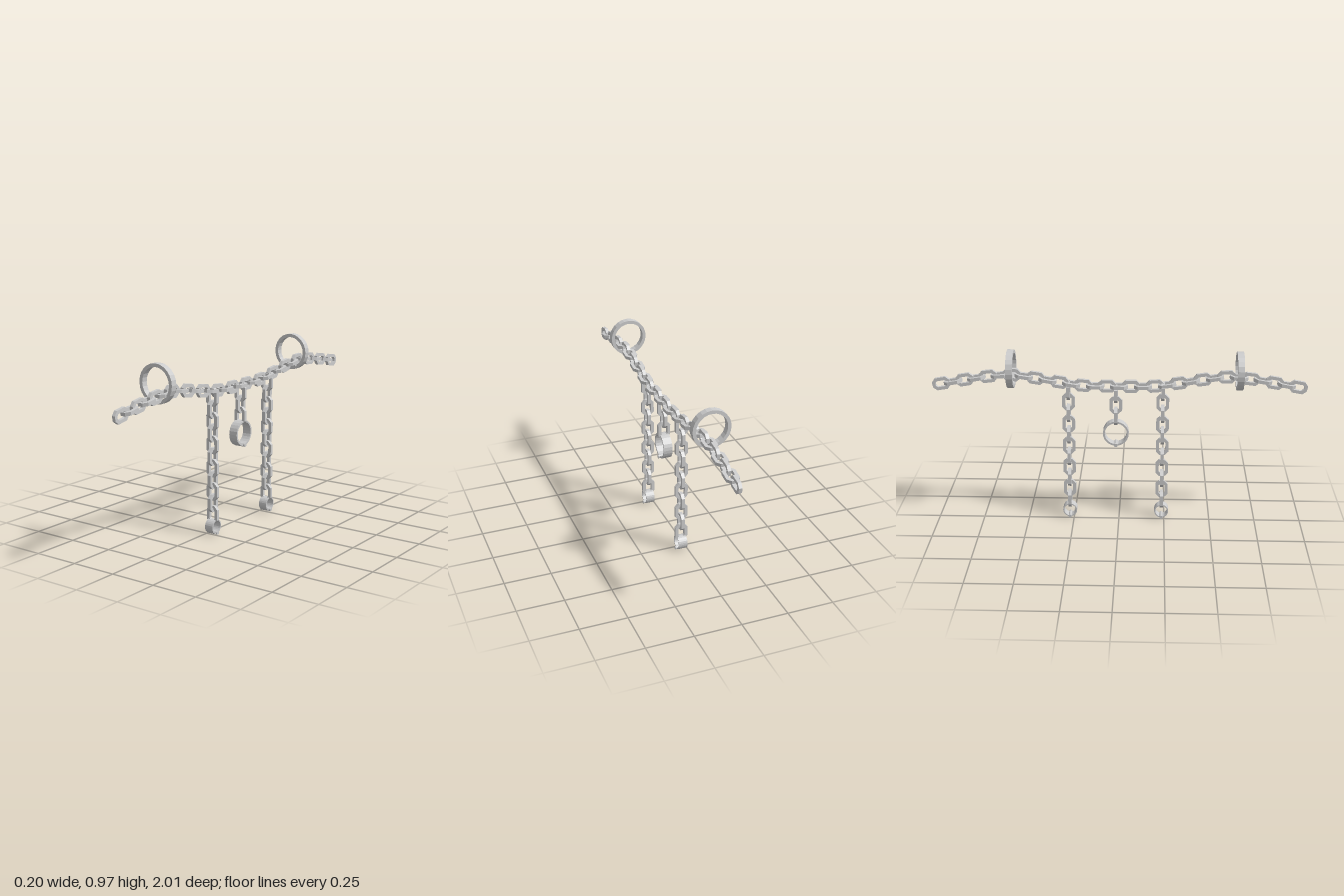
import * as THREE from 'three';

const metal = new THREE.MeshStandardMaterial({ color: 0xcccccc, flatShading: true });

// Eight-cornered elongated outline, long axis along y
function octagon(target, w, h, c) {
  const a = w / 2, b = h / 2;
  target.setFromPoints([[a, c - b], [a, b - c], [a - c, b], [c - a, b], [-a, b - c], [-a, c - b], [c - a, -b], [a - c, -b]]
    .map(([x, y]) => new THREE.Vector2(x, y)));
  target.closePath();
  return target;
}

// One chain link, lying in the xy plane
const linkShape = octagon(new THREE.Shape(), 0.068, 0.097, 0.02);
linkShape.holes.push(octagon(new THREE.Path(), 0.034, 0.063, 0.01));
const linkGeo = new THREE.ExtrudeGeometry(linkShape, { depth: 0.018, bevelEnabled: false });
linkGeo.translate(0, 0, -0.009);

// Flat-walled ring around the z axis
function ringGeometry(outer, inner, depth, segments) {
  const circle = (r) => Array.from({ length: segments }, (_, i) => {
    const a = (i / segments) * Math.PI * 2;
    return new THREE.Vector2(r * Math.cos(a), r * Math.sin(a));
  });
  const shape = new THREE.Shape(circle(outer));
  shape.holes.push(new THREE.Path(circle(inner)));
  const geo = new THREE.ExtrudeGeometry(shape, { depth, bevelEnabled: false });
  geo.translate(0, 0, -depth / 2);
  return geo;
}

function add(parent, geo, name, x, y, z) {
  const mesh = new THREE.Mesh(geo, metal);
  mesh.name = name;
  mesh.position.set(x, y, z);
  parent.add(mesh);
  return mesh;
}

// Vertical chain: links alternate between facing z and facing x
function hangingChain(name, z, yLow, count) {
  const chain = new THREE.Group();
  chain.name = name;
  for (let i = 0; i < count; i++) {
    const link = add(chain, linkGeo, 'link', 0.031, yLow + i * 0.0633, z);
    if (i % 2) link.rotation.y = Math.PI / 2;
  }
  return chain;
}

// Wide band with a closing pin through its lowest point
function cuff(name, y, z, radius, wall, pinRadius) {
  const group = new THREE.Group();
  group.name = name;
  group.position.set(0.031, y, z);
  add(group, ringGeometry(radius, radius - wall, 0.049, 24), 'band', 0, 0, 0).rotation.y = Math.PI / 2;
  const pin = new THREE.CylinderGeometry(pinRadius, pinRadius, 0.066, 10);
  add(group, pin, 'pin', 0, -radius + pinRadius * 0.5, 0).rotation.z = Math.PI / 2;
  return group;
}

export function createModel() {
  const model = new THREE.Group();
  model.name = 'hangingChains';

  // Long chain draped over two high points
  const main = new THREE.Group();
  main.name = 'mainChain';
  const heights = [[-0.953, 0.775], [-0.826, 0.798], [-0.7, 0.818], [-0.58, 0.828], [-0.45, 0.812], [-0.32, 0.79], [-0.19, 0.772], [-0.06, 0.769]];
  const points = [...heights, ...heights.map(([z, y]) => [-z, y]).reverse()];
  const curve = new THREE.CatmullRomCurve3(points.map(([z, y]) => new THREE.Vector3(0.034, y, z)));
  const count = 31;
  for (let i = 0; i < count; i++) {
    const t = i / (count - 1);
    const p = curve.getPointAt(t), d = curve.getTangentAt(t);
    const side = new THREE.Vector3(1, 0, 0);
    const up = new THREE.Vector3().crossVectors(d, side);
    const link = add(main, linkGeo, 'link', p.x, p.y, p.z);
    // Even links stand upright, odd links lie flat
    const across = i % 2 ? side : up;
    const normal = new THREE.Vector3().crossVectors(across, d);
    link.quaternion.setFromRotationMatrix(new THREE.Matrix4().makeBasis(across, d, normal));
  }
  model.add(main);

  // Large support rings
  const ringGeo = ringGeometry(0.102, 0.084, 0.035, 24);
  add(model, ringGeo, 'frontSupportRing', 0, 0.873, 0.638);
  add(model, ringGeo, 'backSupportRing', 0, 0.873, -0.572);

  // Hanging chains with their cuffs
  for (const [side, z] of [['front', 0.235], ['back', -0.272]]) {
    model.add(hangingChain(side + 'HangingChain', z, 0.109, 11));
    model.add(cuff(side + 'Cuff', 0.044, z, 0.039, 0.006, 0.009));
  }
  model.add(hangingChain('middleHangingChain', -0.017, 0.6, 3));
  model.add(cuff('middleCuff', 0.505, -0.017, 0.07, 0.01, 0.01));

  return model;
}
